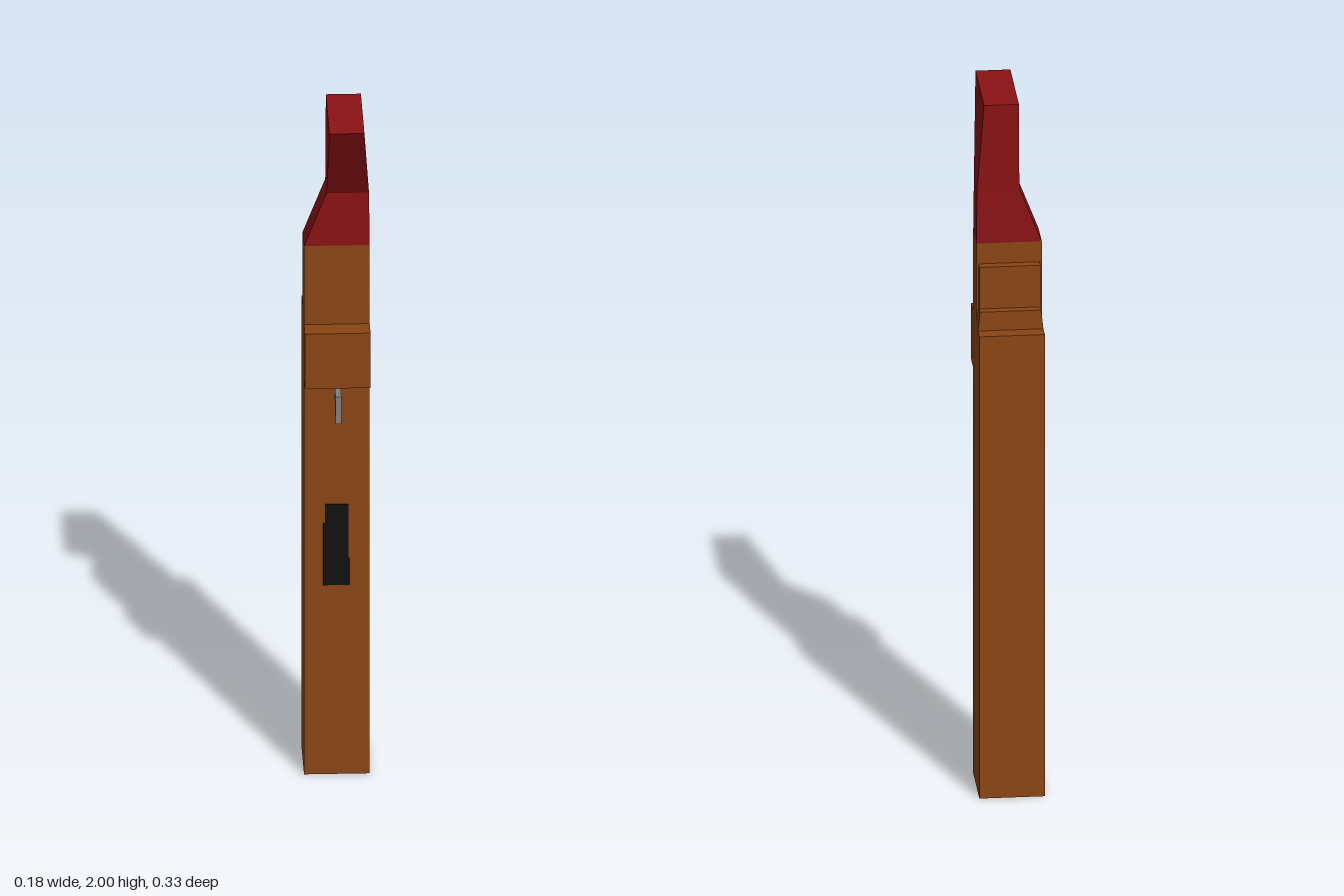
import * as THREE from 'three';

// Solid lofted through rectangular sections [y, x0, x1, z0, z1], bottom to top
function loft(sections) {
  const rings = sections.map(([y, x0, x1, z0, z1]) =>
    [[x0, y, z1], [x1, y, z1], [x1, y, z0], [x0, y, z0]]);
  const pos = [];
  const quad = (a, b, c, d) => pos.push(...a, ...b, ...c, ...a, ...c, ...d);
  for (let k = 0; k < rings.length - 1; k++) {
    const lo = rings[k], hi = rings[k + 1];
    for (let i = 0; i < 4; i++) {
      const j = (i + 1) % 4;
      quad(lo[i], lo[j], hi[j], hi[i]);
    }
  }
  const first = rings[0], last = rings[rings.length - 1];
  quad(first[3], first[2], first[1], first[0]);
  quad(...last);
  const g = new THREE.BufferGeometry();
  g.setAttribute('position', new THREE.Float32BufferAttribute(pos, 3));
  g.computeVertexNormals();
  return g;
}

export function createModel() {
  const group = new THREE.Group();
  const material = (name, color) => {
    const m = new THREE.MeshStandardMaterial({ color });
    m.name = name;
    return m;
  };
  const wood = material('brown wood', 0x8b4513);
  const red = material('dark red', 0x8b1214);
  const metal = material('grey metal', 0x808080);
  const black = material('black', 0x101010);
  const add = (name, geometry, mat) => {
    const mesh = new THREE.Mesh(geometry, mat);
    mesh.name = name;
    group.add(mesh);
    return mesh;
  };
  const W = 0.089, front = 0.016, neckBack = -0.074;

  // Long square body and the slimmer neck above it
  add('body', loft([[0, -W, W, -0.163, front], [1.355, -W, W, -0.163, front]]), wood);
  add('neck', loft([[1.355, -W, W, neckBack, front], [1.592, -W, W, neckBack, front]]), wood);

  // Stepped back of the neck, with slightly tapered sides
  add('lowerStep', loft([[1.355, -W, W, -0.122, neckBack], [1.41, -0.083, 0.083, -0.122, neckBack]]), wood);
  add('upperStep', loft([[1.41, -0.083, 0.083, -0.099, neckBack], [1.532, -0.083, 0.083, -0.099, neckBack]]), wood);

  // Block on the front
  add('frontBlock', loft([[1.19, -W, W, front, 0.075], [1.355, -W, W, front, 0.075]]), wood);

  // Twisted red stock that narrows, then flares forward
  add('stock', loft([
    [1.592, -W, W, neckBack, front],
    [1.75, -0.028, 0.087, neckBack, front],
    [2, -0.026, 0.069, -0.083, 0.163],
  ]), red);

  // Hooked trigger, profile drawn in z and y
  const hook = new THREE.Shape([[0.016, 1.19], [0.016, 1.153], [0.078, 1.153], [0.127, 1.108], [0.127, 1.19]]
    .map(([z, y]) => new THREE.Vector2(-z, y)));
  const trigger = add('trigger', new THREE.ExtrudeGeometry(hook, { depth: 0.016, bevelEnabled: false }), metal);
  trigger.rotation.y = Math.PI / 2;
  trigger.position.x = -0.008;

  // Thin black plate with a stepped outline
  const outline = new THREE.Shape([[-0.037, 0.57], [0.036, 0.57], [0.036, 0.65], [0.032, 0.65],
    [0.032, 0.813], [-0.032, 0.813], [-0.032, 0.757], [-0.037, 0.757]]
    .map(([x, y]) => new THREE.Vector2(x, y)));
  const plate = add('frontPlate', new THREE.ExtrudeGeometry(outline, { depth: 0.003, bevelEnabled: false }), black);
  plate.position.z = front;

  return group;
}
